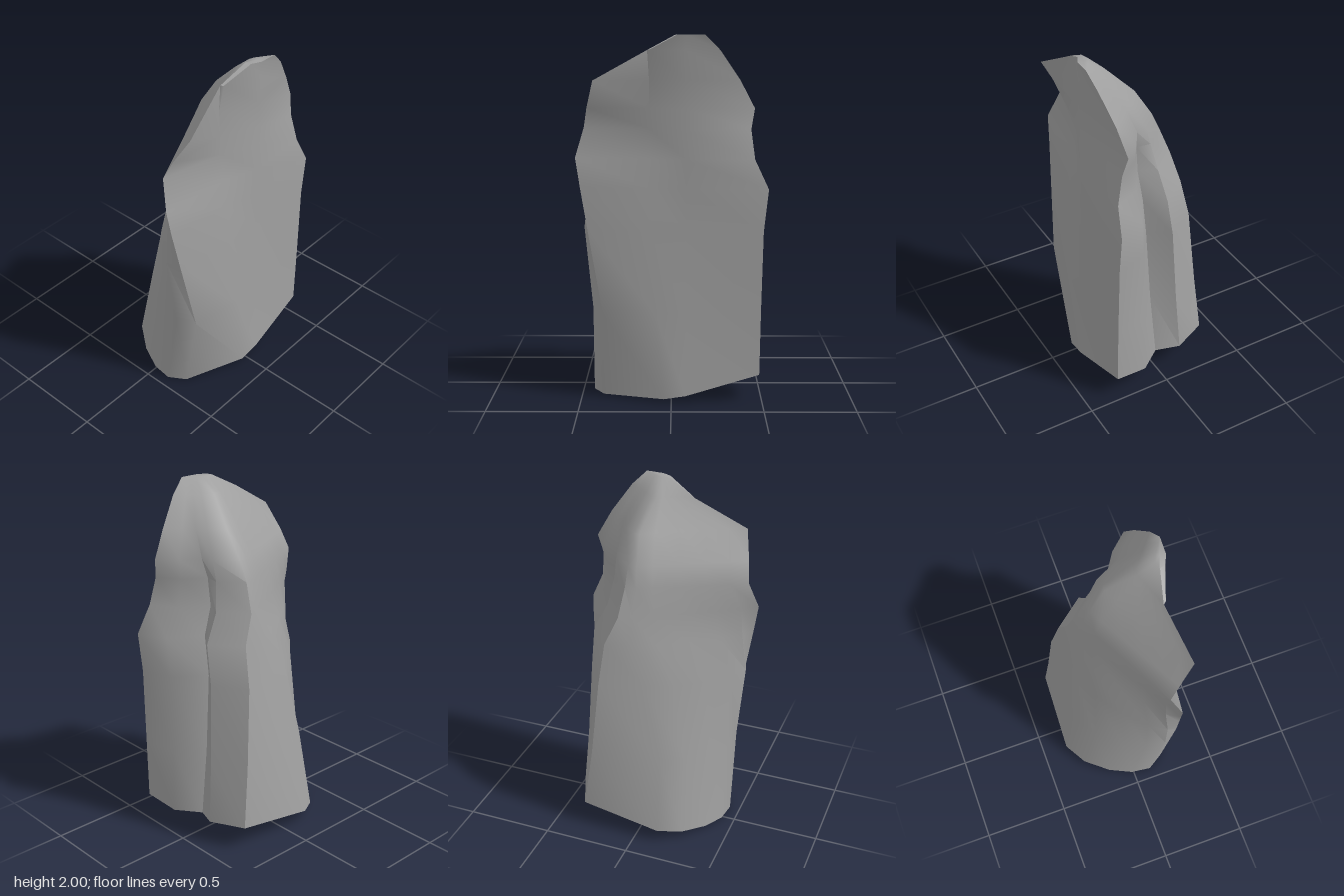
import * as THREE from 'three';
import { toCreasedNormals } from 'three/addons/utils/BufferGeometryUtils.js';

const { clamp, lerp } = THREE.MathUtils;

// One horizontal ring, ruled from four corners: back and front edge of the flat +x face,
// left corner and rear lobe. grooveX is the depth of the groove in the flat face.
function ring(y, [backX, backZ], grooveX, [frontX, frontZ], [leftX, leftZ], [lobeX, lobeZ]) {
  const point = (x, z) => new THREE.Vector3(x, y, z);
  const points = [
    point(backX, backZ),
    point(Math.max(.315, .35 - .05 * y), -.08),
    point(grooveX, Math.min(.04 + y * .1, .12, frontZ - .01)),
    point(frontX, frontZ),
  ];
  // rounded belly between the front edge and the left corner
  const belly = .14 * clamp((1.45 - y) / .5, 0, 1);
  for (const t of [.17, .38, .62, .86]) {
    const bulge = belly * Math.sqrt(Math.sin(Math.PI * t));
    points.push(point(lerp(frontX, leftX, t), lerp(frontZ, leftZ, t) + bulge));
  }
  points.push(point(leftX, leftZ), point(lobeX, lobeZ));
  // upright notch in the back, deepest halfway up
  const fade = clamp((1.8 - y) / .6, 0, 1);
  const notch = Math.min(.05 + .06 * y, .1);
  for (const [t, depth] of [[.3, -.04], [.5, notch], [.7, -.02]]) {
    points.push(point(lerp(lobeX, backX, t), lerp(lobeZ, backZ, t) + depth * fade));
  }
  return points;
}

function rockGeometry() {
  const rings = [
    ring(0, [.32, -.485], .35, [.2, .38], [-.355, .14], [-.335, -.325]),
    ring(.5, [.32, -.49], .33, [.28, .38], [-.265, .12], [-.31, -.28]),
    ring(.95, [.315, -.5], .31, [.24, .46], [-.215, 0], [-.28, -.24]),
    ring(1.18, [.315, -.525], .28, [.22, .5], [-.2, -.08], [-.23, -.22]),
    ring(1.34, [.295, -.45], .25, [.21, .525], [-.16, -.08], [-.2, -.15]),
    ring(1.5, [.26, -.43], .23, [.15, .48], [-.13, -.07], [-.14, -.13]),
    ring(1.61, [.235, -.45], .22, [.2, .46], [-.09, -.08], [-.09, -.13]),
    ring(1.76, [.26, -.37], .21, [.285, .42], [0, -.1], [.005, -.135]),
    ring(1.92, [.3, -.26], .24, [.225, .13], [.16, -.06], [.16, -.09]),
    ring(2, [.32, -.18], .29, [.26, -.02], [.25, -.06], [.26, -.09]),
  ];
  // the foot rises towards the back and the left
  for (const p of rings[0]) p.y = Math.max(0, .06 - .15 * p.z - .1 * p.x);
  rings[0][0].y = .15;

  const n = rings[0].length;
  const last = (rings.length - 1) * n;
  const points = rings.flat();
  points.push(new THREE.Vector3(0, .09, 0), new THREE.Vector3(.285, 2, -.09));
  const index = [];
  for (let j = 0; j < n; j++) {
    const k = (j + 1) % n;
    for (let r = 0; r < last; r += n) {
      index.push(r + j, r + n + j, r + n + k, r + j, r + n + k, r + k);
    }
    index.push(j, k, last + n);                     // underside
    index.push(last + k, last + j, last + n + 1);   // tip
  }
  const geometry = new THREE.BufferGeometry().setFromPoints(points);
  geometry.setIndex(index);
  return toCreasedNormals(geometry, .9);
}

export function createModel() {
  const model = new THREE.Group();
  model.name = 'standingRock';
  const stone = new THREE.MeshStandardMaterial({ color: 0xa0a0a0 });
  stone.name = 'grey stone';
  const rock = new THREE.Mesh(rockGeometry(), stone);
  rock.name = 'rock';
  model.add(rock);
  return model;
}
